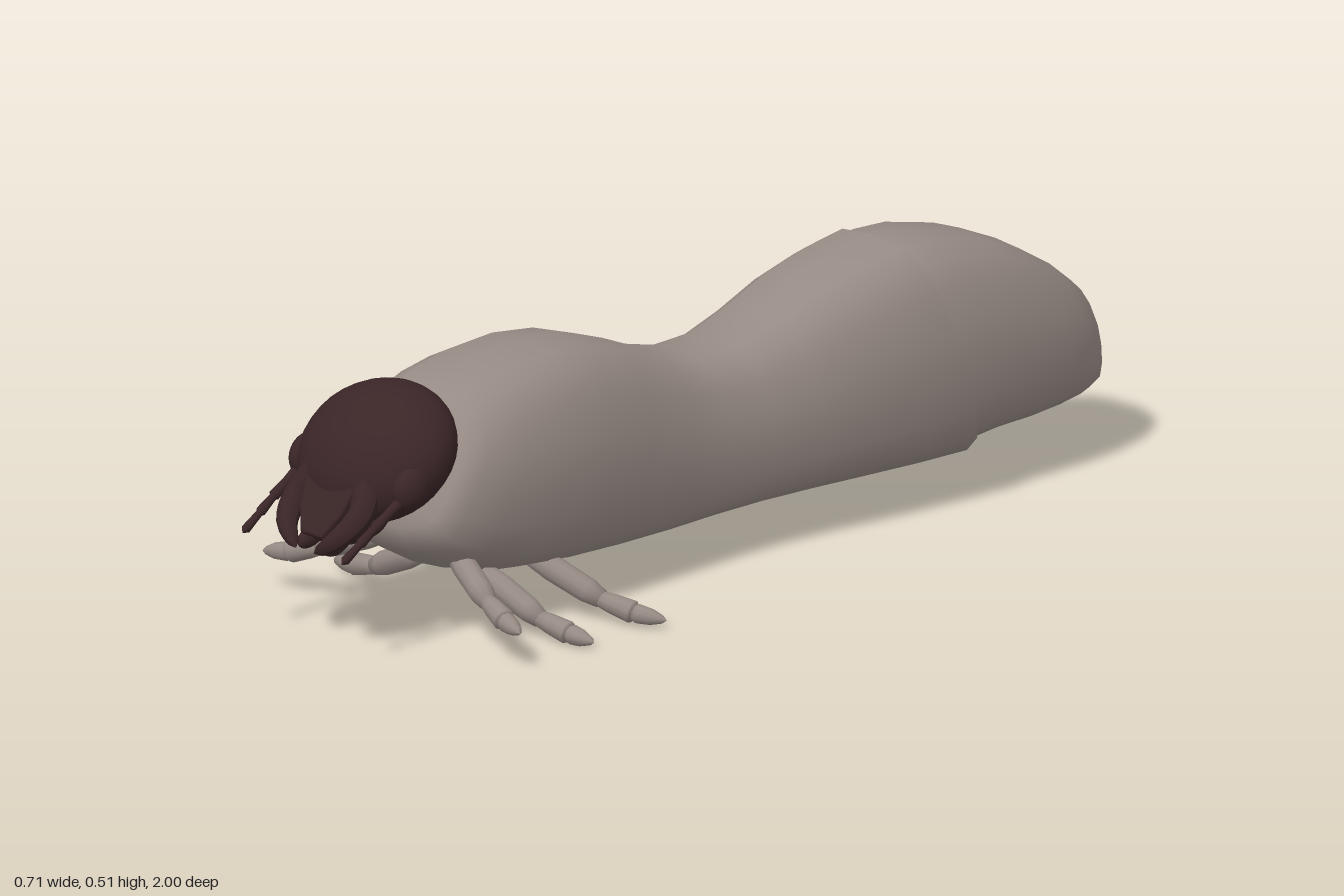
import * as THREE from 'three';

const skin = new THREE.MeshStandardMaterial({ color: 0x968a84, side: THREE.DoubleSide });
skin.name = 'pale grey skin';
const shell = new THREE.MeshStandardMaterial({ color: 0x3a2527 });
shell.name = 'dark brown shell';

// Half of the body's section: x as a share of half width, y from belly (0) to back (1)
const HALF = [[0, 1], [0.42, 0.98], [0.64, 0.92], [0.82, 0.81], [0.96, 0.63], [1, 0.46], [0.98, 0.28],
  [0.9, 0.14], [0.7, 0.06], [0.4, 0.015], [0, 0]];
const SECTION = [...HALF, ...HALF.slice(1, -1).reverse().map(([x, y]) => [-x, y])];

function mesh(name, geometry, material) {
  const m = new THREE.Mesh(geometry, material);
  m.name = name;
  return m;
}

// Skin over slanted rings, front to back: [top z, top y, bottom z, bottom y, half width]
function loft(rings) {
  const pos = [], index = [], n = SECTION.length;
  for (const [zt, yt, zb, yb, w] of rings) {
    for (const [x, t] of SECTION) pos.push(x * w, yb + (yt - yb) * t, zb + (zt - zb) * t);
  }
  for (let i = 0; i < rings.length - 1; i++) {
    for (let j = 0; j < n; j++) {
      const a = i * n + j, b = i * n + (j + 1) % n;
      index.push(a, b, a + n, b, b + n, a + n);
    }
  }
  const g = new THREE.BufferGeometry();
  g.setAttribute('position', new THREE.Float32BufferAttribute(pos, 3));
  g.setIndex(index);
  g.computeVertexNormals();
  return g;
}

// One limb segment: a lathed profile [radius, share of length] laid between two points
function segment(name, from, to, profile, material) {
  const a = new THREE.Vector3(...from), d = new THREE.Vector3(...to).sub(a), len = d.length();
  const g = new THREE.LatheGeometry(profile.map(([r, t]) => new THREE.Vector2(r, t * len)), 10);
  const m = mesh(name, g, material);
  m.position.copy(a);
  m.quaternion.setFromUnitVectors(new THREE.Vector3(0, 1, 0), d.normalize());
  return m;
}

// Curved tube whose radius follows radius(t)
function horn(name, points, radius, material) {
  const curve = new THREE.CatmullRomCurve3(points.map(p => new THREE.Vector3(...p)));
  const steps = 12, sides = 10, g = new THREE.TubeGeometry(curve, steps, 1, sides);
  const p = g.attributes.position, v = new THREE.Vector3();
  for (let i = 0; i < p.count; i++) {
    const t = Math.floor(i / (sides + 1)) / steps, c = curve.getPointAt(t);
    v.fromBufferAttribute(p, i).sub(c).multiplyScalar(radius(t)).add(c);
    p.setXYZ(i, v.x, v.y, v.z);
  }
  g.computeVertexNormals();
  return mesh(name, g, material);
}

function ball(name, [x, y, z], [rx, ry, rz], tilt, material) {
  const m = mesh(name, new THREE.SphereGeometry(1, 28, 18), material);
  m.position.set(x, y, z);
  m.scale.set(rx, ry, rz);
  m.rotation.x = tilt;
  return m;
}

function makeLeg(side, root, knee, ankle, tip) {
  const leg = new THREE.Group();
  leg.name = side > 0 ? 'leftLeg' : 'rightLeg';
  const [a, b, c, d] = [root, knee, ankle, tip].map(([x, y, z]) => [x * side, y, z]);
  leg.add(
    segment('upperLeg', a, b, [[0, 0], [0.021, 0], [0.025, 0.3], [0.024, 0.8], [0.018, 1], [0, 1]], skin),
    segment('lowerLeg', b, c, [[0, -0.08], [0.015, -0.08], [0.019, 0.3], [0.022, 0.92], [0.015, 1], [0, 1]], skin),
    segment('claw', c, d, [[0, -0.05], [0.015, -0.05], [0.019, 0.1], [0.016, 0.5], [0.008, 0.85], [0, 1]], skin));
  return leg;
}

export function createModel() {
  const model = new THREE.Group();
  model.name = 'grub';

  // Long saddle-backed body, open under the head and at the tail seam
  model.add(mesh('body', loft([
    [0.70, 0.40, 0.76, 0.26, 0.09],
    [0.66, 0.455, 0.785, 0.215, 0.155],
    [0.60, 0.472, 0.765, 0.165, 0.18],
    [0.52, 0.488, 0.69, 0.12, 0.192],
    [0.41, 0.496, 0.56, 0.087, 0.195],
    [0.31, 0.485, 0.42, 0.075, 0.188],
    [0.21, 0.453, 0.28, 0.07, 0.174],
    [0.11, 0.412, 0.14, 0.069, 0.159],
    [0.02, 0.39, 0.02, 0.072, 0.151],
    [-0.08, 0.394, -0.10, 0.074, 0.154],
    [-0.18, 0.425, -0.22, 0.073, 0.166],
    [-0.28, 0.465, -0.35, 0.07, 0.18],
    [-0.38, 0.492, -0.48, 0.067, 0.19],
    [-0.475, 0.508, -0.60, 0.066, 0.194],
  ]), skin));

  // Rounded tail tucked into the end of the body
  model.add(mesh('tail', loft([
    [-0.44, 0.493, -0.54, 0.085, 0.183],
    [-0.50, 0.502, -0.61, 0.086, 0.187],
    [-0.58, 0.499, -0.68, 0.094, 0.186],
    [-0.70, 0.472, -0.77, 0.097, 0.179],
    [-0.79, 0.433, -0.85, 0.103, 0.167],
    [-0.87, 0.385, -0.915, 0.11, 0.148],
    [-0.935, 0.335, -0.96, 0.122, 0.12],
    [-0.975, 0.288, -0.985, 0.15, 0.075],
    [-0.995, 0.25, -0.997, 0.185, 0.035],
    [-1.0, 0.22, -1.0, 0.22, 0.0],
  ]), skin));

  // Tilted head capsule with mouthparts
  const head = new THREE.Group();
  head.name = 'head';
  head.add(
    ball('headCapsule', [0, 0.355, 0.78], [0.17, 0.15, 0.1], -0.835, shell),
    ball('lowerJaw', [0, 0.245, 0.86], [0.085, 0.045, 0.08], 0.2, shell));

  // Upper lip: a bevelled trapezoid over the jaws
  const lip = new THREE.Shape([[-0.06, 0.05], [0.06, 0.05], [0.05, 0], [0.025, -0.045], [-0.025, -0.045], [-0.05, 0]]
    .map(([x, y]) => new THREE.Vector2(x, y)));
  const upperLip = mesh('upperLip', new THREE.ExtrudeGeometry(lip,
    { depth: 0.02, bevelEnabled: true, bevelSize: 0.006, bevelThickness: 0.006, bevelSegments: 2 }), shell);
  upperLip.position.set(0, 0.26, 0.905);
  upperLip.rotation.x = -0.5;
  head.add(upperLip);

  for (const s of [1, -1]) {
    head.add(
      ball('cheek', [s * 0.14, 0.325, 0.825], [0.032, 0.045, 0.04], -0.5, shell),
      horn('mandible', [[s * 0.07, 0.325, 0.87], [s * 0.088, 0.275, 0.905], [s * 0.07, 0.235, 0.945], [s * 0.025, 0.2, 0.965]],
        t => 0.026 * Math.sqrt(1 - t * t) + 0.001, shell),
      ball('mouthPalp', [s * 0.035, 0.212, 0.915], [0.016, 0.02, 0.035], 0.4, shell),
      segment('antennaBase', [s * 0.14, 0.31, 0.84], [s * 0.138, 0.265, 0.915],
        [[0, 0], [0.012, 0], [0.009, 0.6], [0.011, 1], [0, 1]], shell),
      segment('antennaTip', [s * 0.138, 0.268, 0.91], [s * 0.135, 0.21, 0.998],
        [[0, 0], [0.007, 0], [0.01, 0.45], [0.007, 0.5], [0.009, 0.9], [0, 1]], shell));
  }
  model.add(head);

  // Three pairs of jointed legs
  for (const s of [1, -1]) {
    model.add(
      makeLeg(s, [0.10, 0.15, 0.67], [0.23, 0.1, 0.715], [0.295, 0.08, 0.73], [0.352, 0.072, 0.745]),
      makeLeg(s, [0.09, 0.095, 0.59], [0.225, 0.035, 0.575], [0.295, 0.02, 0.565], [0.355, 0.015, 0.56]),
      makeLeg(s, [0.09, 0.105, 0.47], [0.225, 0.04, 0.42], [0.295, 0.025, 0.4], [0.355, 0.018, 0.375]));
  }
  return model;
}
